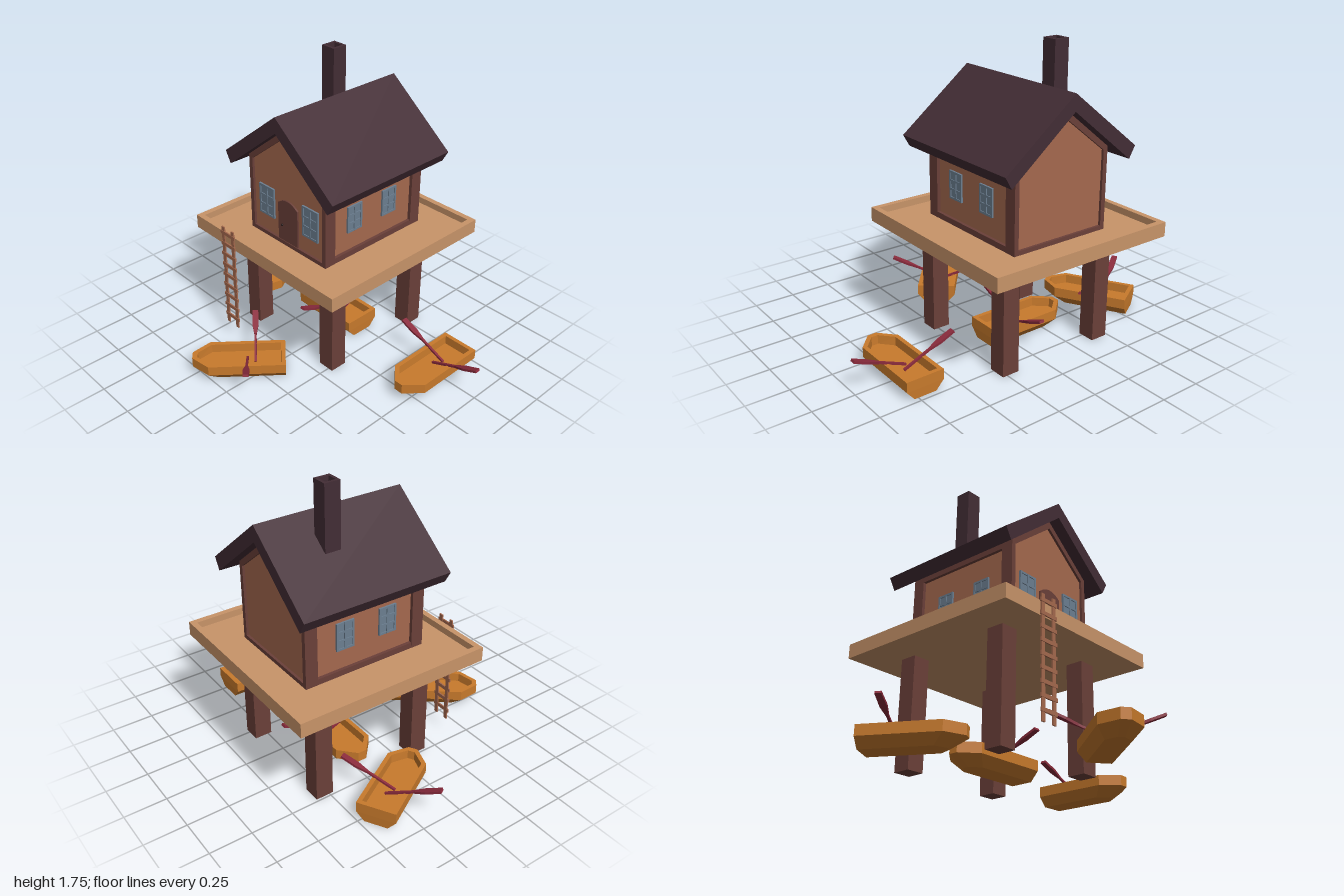
import * as THREE from 'three';

const mat = (name, color) => {
  const m = new THREE.MeshStandardMaterial({ color });
  m.name = name;
  return m;
};

export function createModel() {
  const M = {
    wall: mat('clay wall', 0xa5694e),
    timber: mat('dark timber', 0x6b4039),
    roof: mat('dark roof', 0x432d35),
    deck: mat('pale deck', 0xc89469),
    boat: mat('orange boat', 0xc87a2c),
    oar: mat('red oar', 0x8a2b3c),
    glass: mat('blue window', 0x6c7f91),
    knob: mat('door knob', 0x2a1c1c),
  };
  const root = new THREE.Group();
  root.name = 'stiltHouse';

  const add = (parent, name, geo, material, x = 0, y = 0, z = 0) => {
    const m = new THREE.Mesh(geo, material);
    m.name = name;
    m.position.set(x, y, z);
    parent.add(m);
    return m;
  };
  // Box given by its minimum and maximum corners
  const box = (parent, name, material, x0, x1, y0, y1, z0, z1) =>
    add(parent, name, new THREE.BoxGeometry(x1 - x0, y1 - y0, z1 - z0), material,
      (x0 + x1) / 2, (y0 + y1) / 2, (z0 + z1) / 2);
  const poly = pts => new THREE.Shape(pts.map(p => new THREE.Vector2(...p)));
  const extrude = (shape, depth) =>
    new THREE.ExtrudeGeometry(shape, { depth, bevelEnabled: false, curveSegments: 8 });
  const rect = (w, h) => poly([[-w, -h], [w, -h], [w, h], [-w, h]]);
  // Square ring standing upright, such as the deck rim and the chimney
  const squareRing = (outer, inner, height) => {
    const s = rect(outer, outer);
    s.holes.push(rect(inner, inner));
    return extrude(s, height).rotateX(-Math.PI / 2);
  };

  // Deck with raised rim, on four legs
  const CX = -0.1, CZ = -0.205, FLOOR = 0.695;
  box(root, 'deckFloor', M.deck, CX - 0.57, CX + 0.57, 0.65, FLOOR, CZ - 0.57, CZ + 0.57);
  add(root, 'deckRim', squareRing(0.593, 0.558, 0.085), M.deck, CX, 0.65, CZ);
  for (const x of [-0.433, 0.227]) for (const z of [0.128, -0.53])
    box(root, 'leg', M.timber, x - 0.053, x + 0.053, 0, 0.66, z - 0.053, z + 0.053);

  // House body
  const house = new THREE.Group();
  house.name = 'house';
  house.position.set(CX, 0, 0);
  root.add(house);
  const SLOPE = 0.79;
  const gable = (w, base, peak) =>
    poly([[-w, base], [w, base], [w, peak - w * SLOPE], [0, peak], [-w, peak - w * SLOPE]]);
  add(house, 'walls', extrude(gable(0.3, FLOOR, 1.43), 0.74), M.wall, 0, 0, -0.575);

  // Timber frames around both gables and beams along the sides
  const frame = gable(0.32, FLOOR, 1.44);
  frame.holes.push(gable(0.292, 0.72, 1.39));
  for (const z of [0.105, -0.59]) add(house, 'gableFrame', extrude(frame, 0.075), M.timber, 0, 0, z);
  for (const s of [-1, 1]) {
    add(house, 'baseBeam', new THREE.BoxGeometry(0.03, 0.035, 0.64), M.timber, s * 0.304, FLOOR + 0.017, CZ);
    add(house, 'topBeam', new THREE.BoxGeometry(0.03, 0.04, 0.64), M.timber, s * 0.304, 1.165, CZ);
  }

  // Roof and chimney
  const E = 0.447, T = 0.04;
  const roof = poly([[0, 1.53], [-E, 1.53 - E * SLOPE], [-E + T, 1.107], [0, 1.434],
    [E - T, 1.107], [E, 1.53 - E * SLOPE]]);
  add(house, 'roof', extrude(roof, 0.92), M.roof, 0, 0, -0.67);
  add(root, 'chimney', squareRing(0.048, 0.031, 0.435), M.roof, -0.257, 1.31, -0.333);

  // Windows with glazing bars, built facing +z
  const makeWindow = (w, h, x, y, z, turn) => {
    const g = new THREE.Group();
    g.name = 'window';
    g.position.set(x, y, z);
    g.rotation.y = turn;
    house.add(g);
    add(g, 'pane', new THREE.BoxGeometry(w, h, 0.006), M.glass);
    const b = 0.012;
    for (const i of [-1, 0, 1])
      add(g, 'uprightBar', new THREE.BoxGeometry(b, h, 0.009), M.glass, i * (w - b) / 2, 0, 0.004);
    for (const i of [-1, -1 / 3, 1 / 3, 1])
      add(g, 'crossBar', new THREE.BoxGeometry(w, b, 0.008), M.glass, 0, i * (h - b) / 2, 0.004);
  };
  for (const x of [-0.18, 0.188]) makeWindow(0.128, 0.192, x, 0.923, 0.168, 0);
  for (const s of [-1, 1]) for (const z of [-0.057, -0.333])
    makeWindow(0.112, 0.165, s * 0.303, 0.928, z, s * Math.PI / 2);

  // Arched door with knob
  const door = new THREE.Shape();
  door.moveTo(-0.082, FLOOR);
  door.lineTo(0.082, FLOOR);
  door.lineTo(0.082, 0.957);
  door.quadraticCurveTo(0, 1.023, -0.082, 0.957);
  add(house, 'door', extrude(door, 0.012), M.timber, 0.003, 0, 0.164);
  add(house, 'doorKnob', new THREE.SphereGeometry(0.007, 8, 6), M.knob, -0.043, 0.822, 0.179);

  // Ladder against the front of the deck
  const ladder = new THREE.Group();
  ladder.name = 'ladder';
  root.add(ladder);
  for (const x of [-0.421, -0.336])
    box(ladder, 'ladderRail', M.wall, x - 0.012, x + 0.012, 0.09, 0.775, 0.39, 0.398);
  for (let i = 0; i < 9; i++) {
    const y = 0.15 + i * 0.0735;
    box(ladder, 'ladderRung', M.wall, -0.44, -0.315, y - 0.011, y + 0.011, 0.392, 0.401);
  }

  // Boat hull from stacked outlines, bow toward +z
  const outline = (y, w, stern, shoulder, tipW, tip) =>
    [[-w, stern], [-w, shoulder], [-tipW, tip], [tipW, tip], [w, shoulder], [w, stern]]
      .map(([x, z]) => [x, y, z]);
  const rings = [
    outline(0, 0.068, -0.27, 0.12, 0.018, 0.175),
    outline(0.055, 0.115, -0.272, 0.175, 0.027, 0.272),
    outline(0.115, 0.115, -0.272, 0.175, 0.027, 0.272),
    outline(0.115, 0.09, -0.247, 0.165, 0.02, 0.242),
    outline(0.062, 0.088, -0.245, 0.163, 0.02, 0.24),
  ];
  const n = 6, index = [];
  for (let r = 0; r < rings.length - 1; r++) for (let j = 0; j < n; j++) {
    const a = r * n + j, b = r * n + (j + 1) % n;
    index.push(a, b, b + n, a, b + n, a + n);
  }
  const last = (rings.length - 1) * n;
  for (let j = 1; j < n - 1; j++) index.push(0, j + 1, j, last, last + j, last + j + 1);
  let hull = new THREE.BufferGeometry();
  hull.setAttribute('position', new THREE.Float32BufferAttribute(rings.flat(2), 3));
  hull.setIndex(index);
  hull = hull.toNonIndexed();
  hull.computeVertexNormals();

  // Oar lying along +x with a flared flat blade
  const shaft = new THREE.BoxGeometry(0.25, 0.012, 0.014).translate(0.125, 0, 0);
  const blade = extrude(poly([[0.18, -0.007], [0.25, -0.019], [0.345, -0.017],
    [0.345, 0.017], [0.25, 0.019], [0.18, 0.007]]), 0.014).rotateX(-Math.PI / 2).translate(0, -0.007, 0);

  // Four boats: x, z and heading in degrees
  for (const [x, z, deg] of [[0.705, -0.2, 0], [-0.105, 0.567, -40], [-0.694, -0.204, 30], [-0.14, -0.22, -90]]) {
    const boat = new THREE.Group();
    boat.name = 'rowingBoat';
    boat.position.set(x, 0, z);
    boat.rotation.y = THREE.MathUtils.degToRad(deg);
    root.add(boat);
    add(boat, 'hull', hull, M.boat);
    for (const s of [-1, 1]) {
      const oar = new THREE.Group();
      oar.name = 'oar';
      oar.position.set(-s * 0.02, 0.07, s > 0 ? -0.048 : -0.095);
      oar.rotation.set(0, s > 0 ? 0 : Math.PI, 0.395);
      boat.add(oar);
      add(oar, 'oarShaft', shaft, M.oar);
      add(oar, 'oarBlade', blade, M.oar);
    }
  }
  return root;
}
